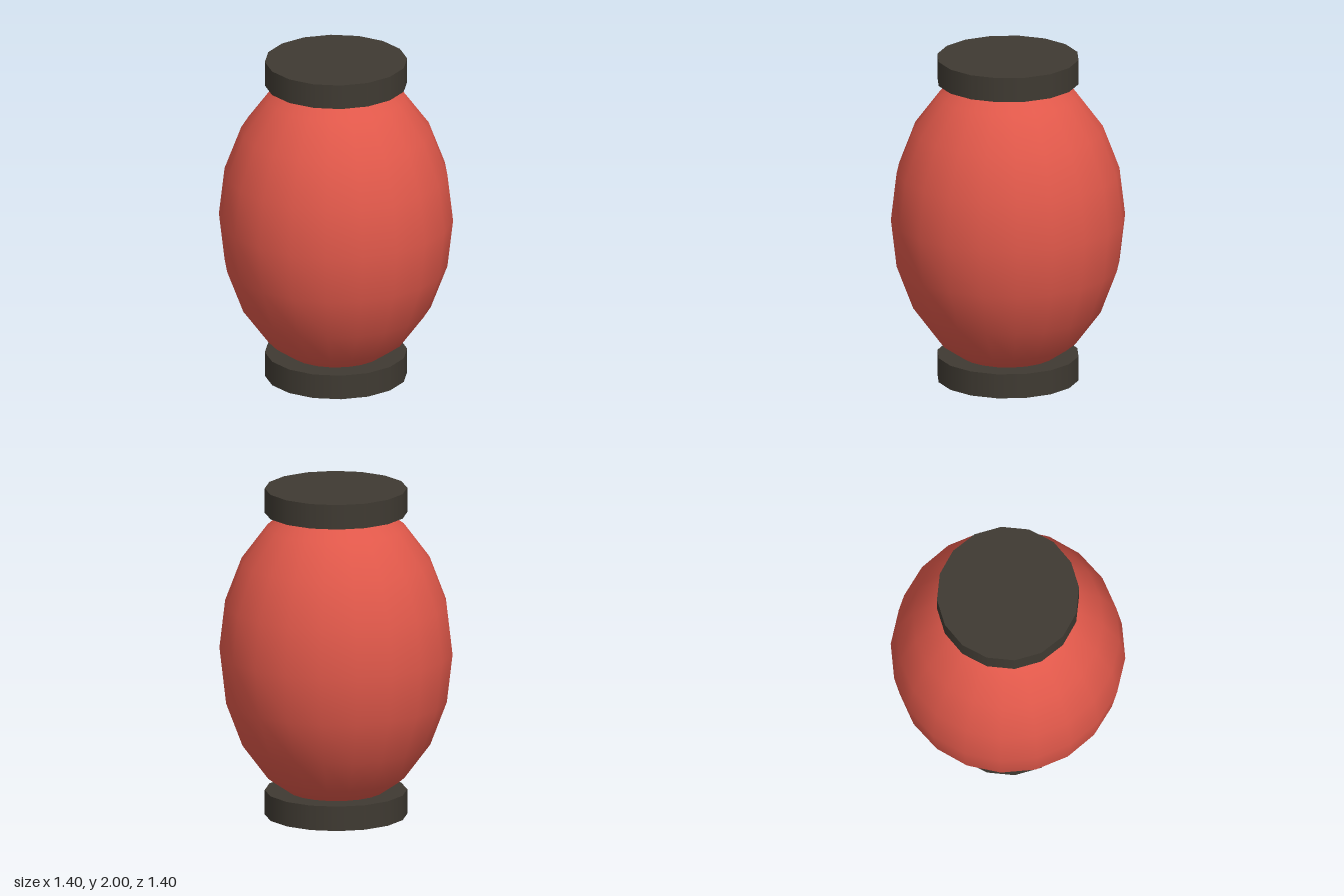
import * as THREE from 'three';

export function createModel() {
  const model = new THREE.Group();
  model.name = 'paperLantern';

  const red = new THREE.MeshStandardMaterial({ color: 0xe0584a });
  const dark = new THREE.MeshStandardMaterial({ color: 0x3f3a32 });

  // Tall egg-shaped shade
  const radius = 0.7;
  const bodyGeometry = new THREE.SphereGeometry(radius, 20, 10);
  bodyGeometry.scale(1, 1.35, 1);
  const body = new THREE.Mesh(bodyGeometry, red);
  body.name = 'shade';
  body.position.y = 1;
  model.add(body);

  // Matching end caps
  const capHeight = 0.15;
  const capGeometry = new THREE.CylinderGeometry(0.425, 0.425, capHeight, 16);
  for (const [name, y] of [['bottomCap', capHeight / 2], ['topCap', 2 - capHeight / 2]]) {
    const cap = new THREE.Mesh(capGeometry, dark);
    cap.name = name;
    cap.position.y = y;
    model.add(cap);
  }

  return model;
}
